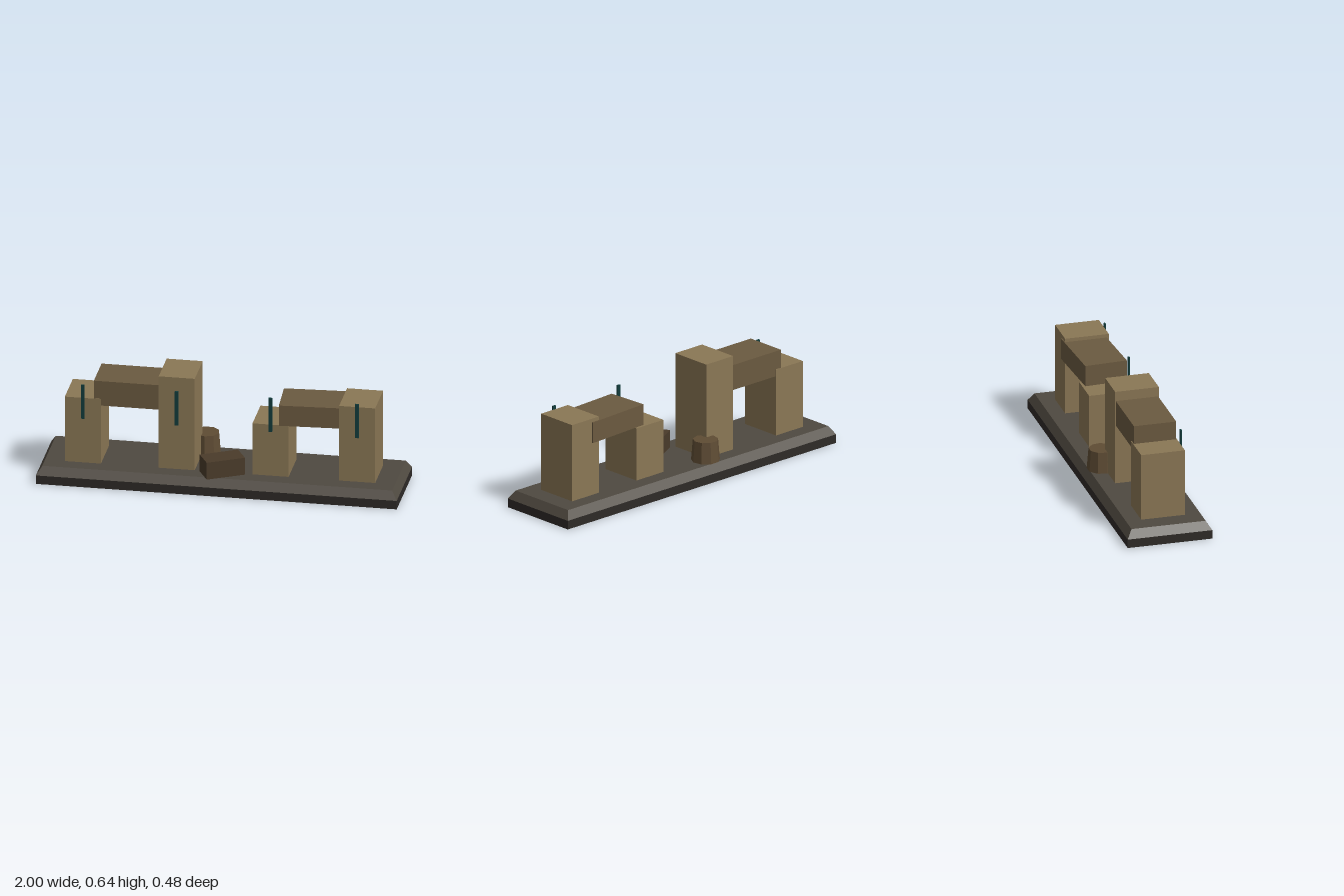
import * as THREE from 'three';

const mat = (color) => new THREE.MeshStandardMaterial({ color, flatShading: true });

export function createModel() {
  const group = new THREE.Group();
  const stone = mat(0x8a7755), beam = mat(0x6b5a40), slab = mat(0x2e2a27), paving = mat(0x4f4940);
  const rubble = mat(0x4a3b2a), drum = mat(0x5f4c34), glyph = mat(0x123c3c);
  const GROUND = 0.097;

  // Adds a mesh whose underside sits at height y
  const add = (name, geometry, material, x, y, z, turn = 0) => {
    const mesh = new THREE.Mesh(geometry, material);
    geometry.computeBoundingBox();
    mesh.position.set(x, y - geometry.boundingBox.min.y, z);
    mesh.rotation.y = turn;
    mesh.name = name;
    group.add(mesh);
    return mesh;
  };
  const box = (w, h, d) => new THREE.BoxGeometry(w, h, d);

  // Base slab, with a paving layer whose top edge is drawn in by 0.03
  add('baseSlab', box(2, 0.05, 0.48), slab, 0, 0, 0);
  const top = box(2, GROUND - 0.05, 0.48);
  const p = top.attributes.position;
  for (let i = 0; i < p.count; i++) {
    if (p.getY(i) > 0) {
      p.setX(i, Math.sign(p.getX(i)) * 0.97);
      p.setZ(i, Math.sign(p.getZ(i)) * 0.21);
    }
  }
  top.computeVertexNormals();
  add('basePaving', top, paving, 0, 0.05, 0);

  // Pillars of uneven height, each with a thin strip on its front
  for (const [x, height] of [[-0.76, 0.48], [-0.24, 0.64], [0.28, 0.4], [0.76, 0.54]]) {
    add('pillar', box(0.2, height - GROUND, 0.248), stone, x, GROUND, 0);
    add('frontStrip', box(0.02, 0.2, 0.01), glyph, x, 0.36, 0.129);
  }

  // Lintels, the second one slightly twisted
  add('rightLintel', box(0.4, 0.145, 0.24), beam, -0.5, 0.44, 0);
  add('leftLintel', box(0.4, 0.12, 0.24), beam, 0.52, 0.4, 0, 0.06);

  // Fallen block and broken column drum
  add('fallenBlock', box(0.22, 0.1, 0.12), rubble, 0.015, GROUND, 0.135, 0.5);
  add('columnDrum', new THREE.CylinderGeometry(0.07, 0.08, 0.12, 9), drum, -0.12, GROUND, -0.14);

  return group;
}
